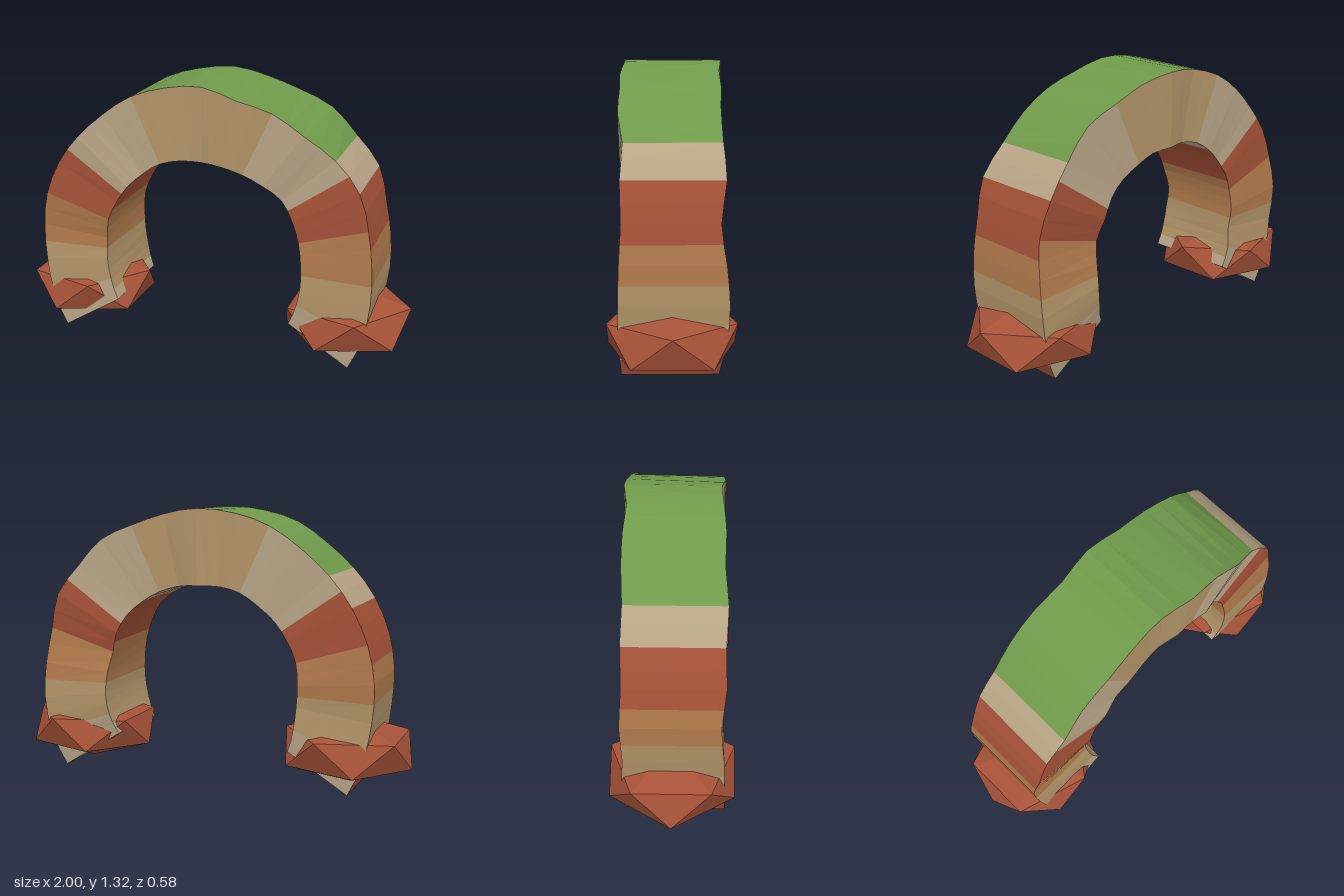
import * as THREE from 'three';

const SEGMENTS = 40, CENTRE_Y = 0.47;
const START = THREE.MathUtils.degToRad(-32), SWEEP = THREE.MathUtils.degToRad(244);
const GRASS = 0x6f9a4b, RED = 0xa65238, ORANGE = 0xb07a4c, TAN = 0xb29468, PALE = 0xb8a586;

// Rock layers from the ground up, each about 0.2 high
const LAYERS = [
  ['redLayer', RED], ['paleLayer', PALE], ['tanLayer', TAN], ['orangeLayer', ORANGE],
  ['redLayer', RED], ['paleLayer', PALE], ['tanLayer', TAN],
];
const layerAt = (y) => LAYERS[THREE.MathUtils.clamp(Math.ceil((y - 0.055) / 0.205), 0, 6)];

// Smooth uneven value along the arch, from its left foot (0) to its right foot (1)
function wobble(values) {
  const curve = new THREE.SplineCurve(values.map((v, i) => new THREE.Vector2(i, v)));
  return (t) => curve.getPoint(t).y;
}
const outerFront = wobble([0.876, 0.862, 0.848, 0.84, 0.848, 0.873, 0.857, 0.837, 0.838, 0.828, 0.855,
  0.857, 0.86, 0.849, 0.85, 0.86, 0.862, 0.864, 0.857, 0.87, 0.88]);
const outerBack = wobble([0.876, 0.862, 0.848, 0.84, 0.848, 0.87, 0.86, 0.872, 0.848, 0.848, 0.858,
  0.857, 0.858, 0.849, 0.85, 0.858, 0.862, 0.866, 0.86, 0.868, 0.876]);
const innerFront = wobble([0.522, 0.512, 0.505, 0.5, 0.503, 0.515, 0.523, 0.515, 0.5, 0.495, 0.49,
  0.5, 0.51, 0.504, 0.505, 0.506, 0.512, 0.51, 0.51, 0.518, 0.53]);
const innerBack = wobble([0.522, 0.51, 0.498, 0.49, 0.488, 0.498, 0.505, 0.5, 0.497, 0.495, 0.492,
  0.5, 0.51, 0.506, 0.507, 0.508, 0.508, 0.5, 0.495, 0.51, 0.53]);
const frontZ = wobble([0.225, 0.235, 0.235, 0.23, 0.22, 0.225, 0.215, 0.24, 0.235, 0.24, 0.22,
  0.225, 0.235, 0.23, 0.245, 0.235, 0.24, 0.22, 0.235, 0.24, 0.245]);
const backZ = wobble([0.21, 0.24, 0.25, 0.235, 0.211, 0.235, 0.225, 0.22, 0.23, 0.228, 0.245,
  0.222, 0.23, 0.23, 0.22, 0.225, 0.22, 0.23, 0.22, 0.23, 0.22]);

// Four corners of the arch section: outer front, outer back, inner back, inner front
function section(t) {
  const a = START + SWEEP * t;
  const at = (r, z) => new THREE.Vector3(r * Math.cos(a), CENTRE_Y + r * Math.sin(a), z);
  return [
    at(outerFront(t), frontZ(t)), at(outerBack(t), -backZ(t)),
    at(innerBack(t), -backZ(t)), at(innerFront(t), frontZ(t)),
  ];
}

function material(color) {
  return new THREE.MeshStandardMaterial({ color, flatShading: true });
}

// Swept arch, its faces sorted into rock layers by height
function createArch() {
  const parts = new Map();
  const addQuad = (a, b, c, d, grassy = false) => {
    const [name, color] = grassy ? ['grassTop', GRASS] : layerAt((a.y + b.y + c.y + d.y) / 4);
    if (!parts.has(name)) parts.set(name, { color, points: [] });
    parts.get(name).points.push(a, b, c, a, c, d);
  };

  const rings = Array.from({ length: SEGMENTS + 1 }, (_, i) => section(i / SEGMENTS));
  for (let i = 0; i < SEGMENTS; i++) {
    const p = rings[i], q = rings[i + 1];
    const up = Math.sin(START + SWEEP * (i + 0.5) / SEGMENTS);
    for (let k = 0; k < 4; k++) {
      const n = (k + 1) % 4;
      addQuad(p[k], p[n], q[n], q[k], k === 0 && up > 0.66);
    }
  }
  // Foot ends
  const first = rings[0], last = rings[SEGMENTS];
  addQuad(first[3], first[2], first[1], first[0]);
  addQuad(last[0], last[1], last[2], last[3]);

  const arch = new THREE.Group();
  arch.name = 'rockArch';
  for (const [name, { color, points }] of parts) {
    const geometry = new THREE.BufferGeometry().setFromPoints(points);
    geometry.computeVertexNormals();
    const mesh = new THREE.Mesh(geometry, material(color));
    mesh.name = name;
    arch.add(mesh);
  }
  return arch;
}

// Squat boulder around a foot of the arch
function createBoulder(name, x) {
  const geometry = new THREE.IcosahedronGeometry(1, 0);
  geometry.rotateZ(-Math.PI / 6).scale(0.355, 0.17, 0.34);
  const boulder = new THREE.Mesh(geometry, material(RED));
  boulder.name = name;
  boulder.position.set(x, 0.18, 0);
  return boulder;
}

export function createModel() {
  const model = new THREE.Group();
  model.name = 'naturalRockArch';
  model.add(createArch(), createBoulder('leftBoulder', 0.685), createBoulder('rightBoulder', -0.69));
  return model;
}
